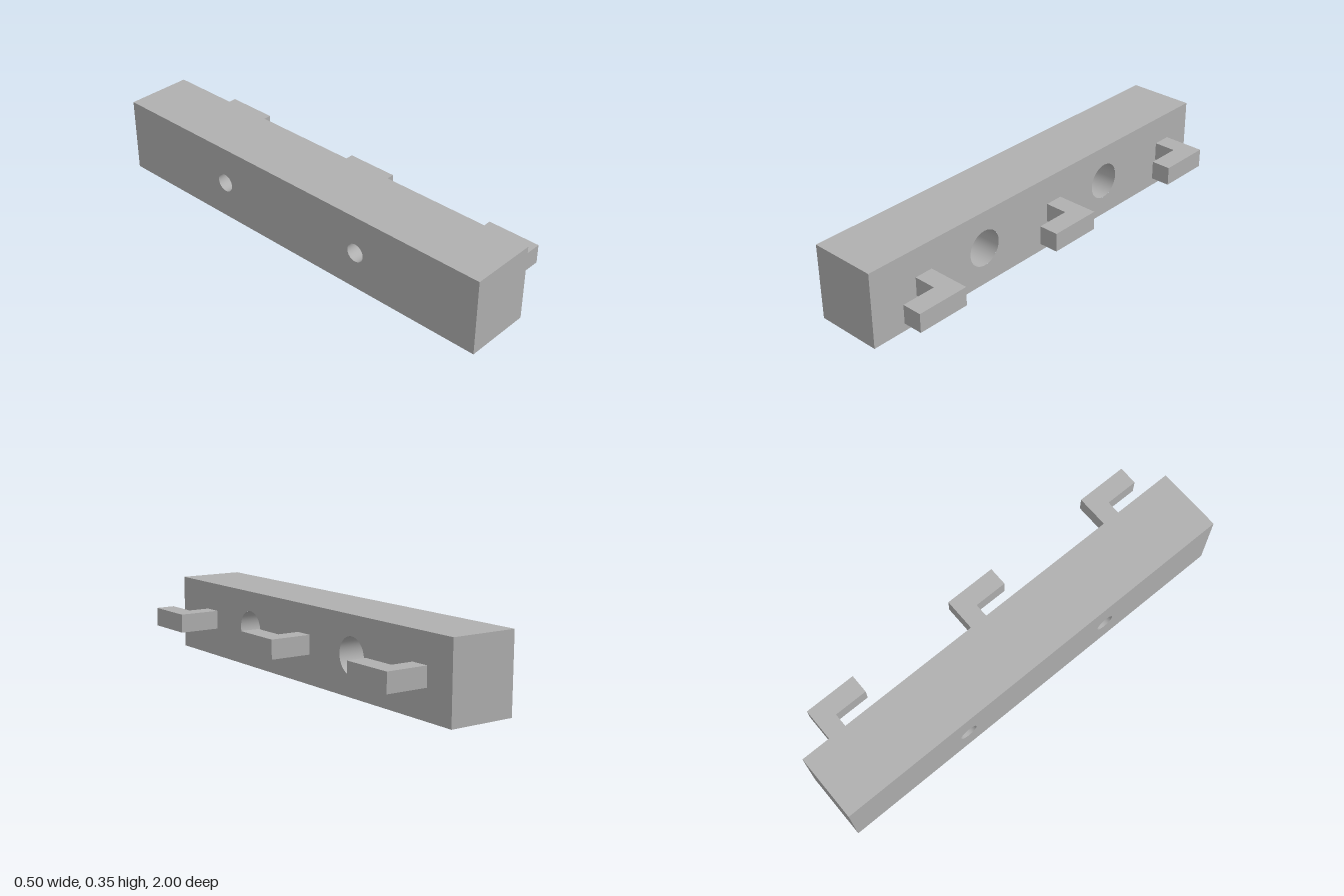
import * as THREE from 'three';

const BACK = -0.25, FRONT = 0.057, HEIGHT = 0.347, LENGTH = 2;
const HOLE_Z = [0.385, -0.385], HOLE_Y = HEIGHT / 2;
const WIDE = 0.083, NARROW = 0.042, STEP = -0.1, SEGMENTS = 48;

const grey = new THREE.MeshStandardMaterial({ color: 0xb0b0b0 });
grey.name = 'grey';

function part(name, geometry) {
  const mesh = new THREE.Mesh(geometry, grey);
  mesh.name = name;
  return mesh;
}

// Long side of the rail with two round openings
function railFace(radius) {
  const h = LENGTH / 2;
  const shape = new THREE.Shape([
    new THREE.Vector2(-h, 0), new THREE.Vector2(h, 0),
    new THREE.Vector2(h, HEIGHT), new THREE.Vector2(-h, HEIGHT),
  ]);
  for (const z of HOLE_Z) {
    shape.holes.push(new THREE.Path().absarc(z, HOLE_Y, radius, 0, Math.PI * 2, true));
  }
  return new THREE.ShapeGeometry(shape, SEGMENTS);
}

// Ring of hole wall between two (radius, x) points, facing the axis
function bore(r1, x1, r2, x2) {
  const points = [new THREE.Vector2(r1, x1), new THREE.Vector2(r2, x2)];
  return new THREE.LatheGeometry(points, SEGMENTS).rotateZ(-Math.PI / 2);
}

// L-shaped hook, drawn in plan (x, -z) and extruded upward
function hookGeometry() {
  const outline = [[FRONT, 0], [FRONT, -0.086], [0.16, -0.086], [0.16, -0.244], [0.25, -0.244], [0.25, 0]];
  const shape = new THREE.Shape(outline.map(([x, y]) => new THREE.Vector2(x, y)));
  return new THREE.ExtrudeGeometry(shape, { depth: 0.086, bevelEnabled: false }).rotateX(-Math.PI / 2);
}

export function createModel() {
  const model = new THREE.Group();
  model.name = 'hookRail';

  // Rail: box without its two long sides, closed by pierced faces
  const rail = new THREE.Group();
  rail.name = 'rail';
  const box = new THREE.BoxGeometry(FRONT - BACK, HEIGHT, LENGTH);
  box.setIndex(Array.from(box.index.array).slice(12));
  box.clearGroups();
  box.translate((FRONT + BACK) / 2, HEIGHT / 2, 0);
  rail.add(
    part('railShell', box),
    part('railHookSide', railFace(WIDE).rotateY(Math.PI / 2).translate(FRONT, 0, 0)),
    part('railWallSide', railFace(NARROW).rotateY(-Math.PI / 2).translate(BACK, 0, 0)),
  );
  model.add(rail);

  // Counterbored screw holes
  for (const z of HOLE_Z) {
    const hole = new THREE.Group();
    hole.name = 'screwHole';
    hole.add(
      part('counterbore', bore(WIDE, FRONT, WIDE, STEP)),
      part('counterboreFloor', bore(WIDE, STEP, NARROW, STEP)),
      part('screwBore', bore(NARROW, STEP, NARROW, BACK)),
    );
    hole.position.set(0, HOLE_Y, z);
    model.add(hole);
  }

  // Three hooks
  const hookShape = hookGeometry();
  for (const z of [-0.857, -0.087, 0.683]) {
    const hook = part('hook', hookShape);
    hook.position.set(0, 0.132, z);
    model.add(hook);
  }
  return model;
}
